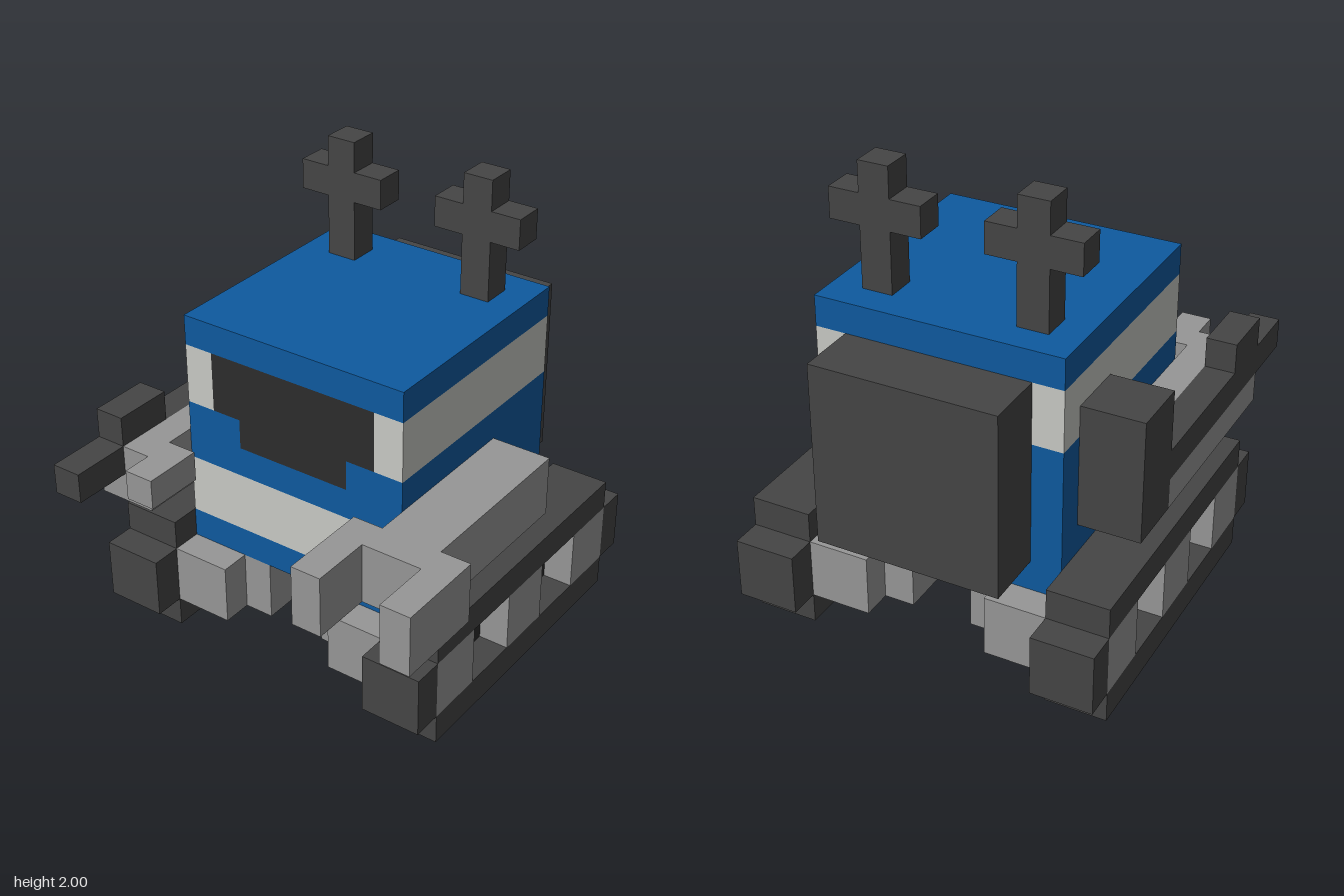
import * as THREE from 'three';

// The model sits on a cell grid: x 0..13, y 0..15, z -7..7
const U = 2 / 15;

function material(name, color) {
  const m = new THREE.MeshStandardMaterial({ color });
  m.name = name;
  return m;
}

export function createModel() {
  const blue = material('blue', 0x0e5a9f);
  const white = material('offWhite', 0xc9cac5);
  const grey = material('grey', 0x979797);
  const dark = material('darkGrey', 0x454545);
  const black = material('black', 0x2c2c2c);

  const model = new THREE.Group();
  model.name = 'trackedRobot';

  function group(name) {
    const g = new THREE.Group();
    g.name = name;
    model.add(g);
    return g;
  }

  // Box between two grid corners; mirror flips it about the body's middle (x = 6)
  function box(parent, name, mat, x0, x1, y0, y1, z0, z1, mirror = false) {
    if (mirror) [x0, x1] = [12 - x1, 12 - x0];
    const mesh = new THREE.Mesh(
      new THREE.BoxGeometry((x1 - x0) * U, (y1 - y0) * U, (z1 - z0) * U), mat);
    mesh.position.set(((x0 + x1) / 2 - 6.5) * U, (y0 + y1) / 2 * U, (z0 + z1) / 2 * U);
    mesh.name = name;
    parent.add(mesh);
  }

  // Body: main block and front layer
  const body = group('body');
  box(body, 'lowerBody', blue, 2, 10, 3, 8, -5, 2);
  box(body, 'whiteBand', white, 2, 10, 8, 10, -5, 2);
  box(body, 'roof', blue, 2, 10, 10, 11, -5, 3);
  box(body, 'frontSkirt', blue, 2, 10, 3, 4, 2, 3);
  box(body, 'belly', white, 2, 10, 4, 6, 2, 3);
  box(body, 'chest', blue, 2, 10, 6, 7, 2, 3);
  box(body, 'visorLower', black, 4, 8, 7, 8, 2, 3);
  box(body, 'visorUpper', black, 3, 9, 8, 10, 2, 3);
  for (const m of [false, true]) {
    box(body, 'chestCorner', blue, 2, 4, 7, 8, 2, 3, m);
    box(body, 'visorFrame', white, 2, 3, 8, 10, 2, 3, m);
  }
  box(body, 'backpack', dark, 3, 9, 4, 10, -7, -5);

  for (const m of [false, true]) {
    // Antenna: mast with crossbar
    const antenna = group(m ? 'leftAntenna' : 'rightAntenna');
    box(antenna, 'mast', dark, 3, 4, 11, 15, -4, -3, m);
    for (const x of [2, 4]) box(antenna, 'crossbar', dark, x, x + 1, 13, 14, -4, -3, m);

    // Track: plates, end caps, wheels and recessed gaps
    const track = group(m ? 'leftTrack' : 'rightTrack');
    box(track, 'bottomTread', dark, 0, 2, 0, 1, -6, 4, m);
    box(track, 'topTread', dark, 0, 2, 3, 4, -6, 4, m);
    for (const z of [-7, 4]) box(track, 'endTread', dark, 0, 2, 1, 3, z, z + 1, m);
    for (const z of [-6, -2, 2]) box(track, 'wheel', grey, 0, 3, 1, 3, z, z + 2, m);
    for (const z of [-4, 0]) box(track, 'wheelGap', black, 1, 3, 1, 3, z, z + 2, m);
    box(track, 'axleBlock', grey, 3, 4, 1, 3, -6, 4, m);
    box(track, 'innerMount', grey, 4, 5, 1, 3, -5, 3, m);
  }

  // Left arm: claw with two prongs
  const leftArm = group('leftArm');
  box(leftArm, 'forearm', grey, 10, 12, 5, 7, -2, 5);
  for (const x of [9, 12]) box(leftArm, 'prong', grey, x, x + 1, 5, 7, 4, 7);

  // Right arm: forearm carrying a long tool with a stock at the rear
  const rightArm = group('rightArm');
  box(rightArm, 'forearmLower', grey, 0, 2, 5, 6, -2, 5);
  box(rightArm, 'forearmUpper', grey, 1, 2, 6, 7, -2, 5);
  box(rightArm, 'thumb', grey, 2, 3, 6, 7, 4, 6);
  box(rightArm, 'stock', dark, 0, 2, 5, 9, -4, -2);
  box(rightArm, 'barrel', dark, 0, 1, 6, 7, -2, 7);
  box(rightArm, 'sight', dark, 0, 1, 7, 8, 3, 5);

  return model;
}
